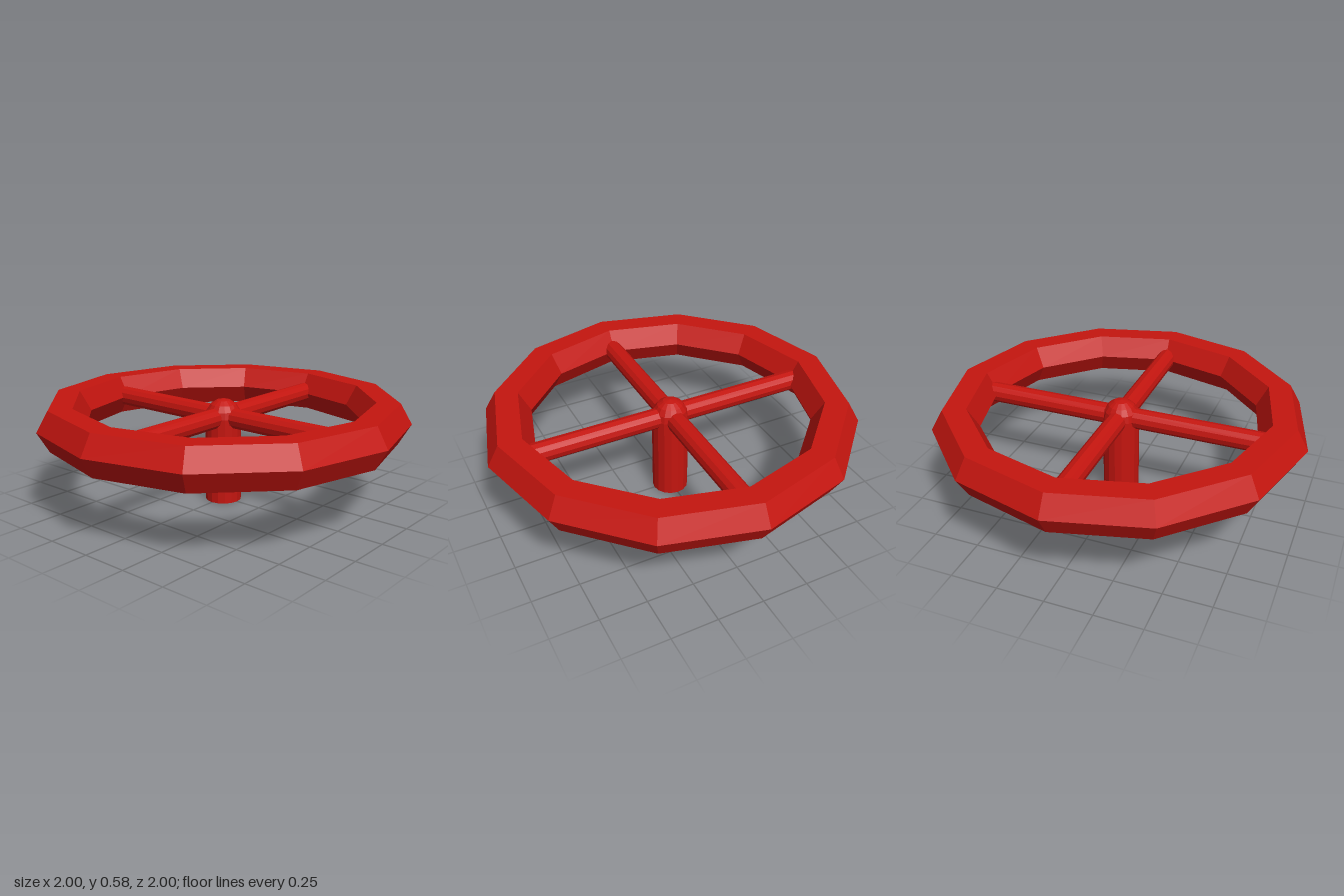
import * as THREE from 'three';

export function createModel() {
  const group = new THREE.Group();
  const red = new THREE.MeshStandardMaterial({ color: 0xc4150f, flatShading: true });
  const rimY = 0.472;

  const add = (name, geometry) => {
    const mesh = new THREE.Mesh(geometry, red);
    mesh.name = name;
    group.add(mesh);
    return mesh;
  };

  // Twelve-sided rim with a hexagonal section
  const rim = add('rim', new THREE.TorusGeometry(0.875, 0.125, 6, 12));
  rim.rotation.x = Math.PI / 2;
  rim.position.y = rimY;

  // Stem with a flat foot and a domed hub on top
  const radius = 0.098;
  const profile = [new THREE.Vector2(0, 0), new THREE.Vector2(radius, 0)];
  for (let i = 0; i <= 4; i++) {
    const a = (i / 4) * Math.PI / 2;
    profile.push(new THREE.Vector2(i === 4 ? 0 : radius * Math.cos(a), rimY + radius * Math.sin(a)));
  }
  add('stemAndHub', new THREE.LatheGeometry(profile, 16));

  // Four round spokes from the hub into the rim
  for (let i = 0; i < 4; i++) {
    const geometry = new THREE.CylinderGeometry(0.055, 0.055, 0.85, 12);
    geometry.translate(0, 0.425, 0);
    geometry.rotateZ(-Math.PI / 2);
    const spoke = add('spoke' + (i + 1), geometry);
    spoke.position.y = rimY;
    spoke.rotation.y = i * Math.PI / 2;
  }

  return group;
}
